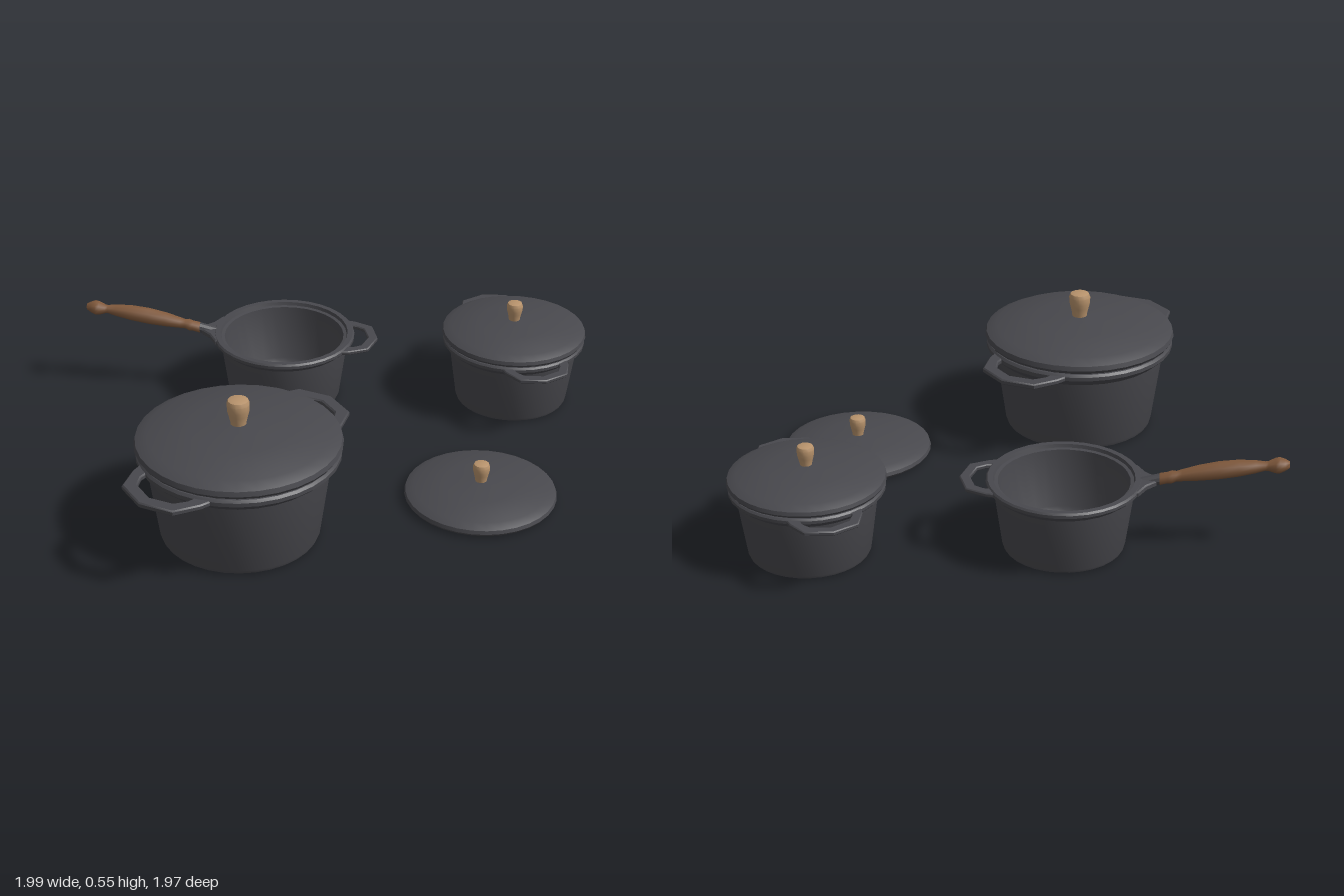
import * as THREE from 'three';
import { toCreasedNormals } from 'three/addons/utils/BufferGeometryUtils.js';

const IRON = new THREE.MeshStandardMaterial({ color: 0x48484d });
const PALE_WOOD = new THREE.MeshStandardMaterial({ color: 0xb8936c });
const DARK_WOOD = new THREE.MeshStandardMaterial({ color: 0x80593c });
const SMALL = 0.76; // small pieces are scaled copies of the large pot

const vec = (pts) => pts.map(([x, y]) => new THREE.Vector2(x, y));

function mesh(name, geometry, material, crease = 0.6) {
  const m = new THREE.Mesh(toCreasedNormals(geometry, crease), material);
  m.name = name;
  return m;
}

const lathe = (pts, sides) => new THREE.LatheGeometry(vec(pts), sides);

// Flat horizontal plate, outlined in x and z, from height y upward
function plate(pts, y, thickness) {
  const bevel = 0.005;
  const g = new THREE.ExtrudeGeometry(new THREE.Shape(vec(pts)), {
    depth: thickness - 2 * bevel, bevelThickness: bevel, bevelSize: bevel, bevelSegments: 1,
  });
  return g.rotateX(-Math.PI / 2).translate(0, y + bevel, 0);
}

// Tapered vessel: outside wall, flared rim, inner ledge, inside wall, floor
function vessel() {
  return mesh('vessel', lathe([
    [0, 0], [0.275, 0], [0.288, 0.006], [0.294, 0.02], [0.334, 0.305],
    [0.358, 0.325], [0.371, 0.338], [0.371, 0.353], [0.363, 0.362],
    [0.336, 0.362], [0.331, 0.345], [0.314, 0.342],
    [0.28, 0.05], [0.268, 0.028], [0.24, 0.018], [0, 0.018],
  ], 32), IRON);
}

// Angular carrying loop on the +x side
function loopHandle() {
  const half = [[0.49, 0], [0.452, 0.122], [0.36, 0.165], [0.31, 0.175]];
  const inner = [[0.33, 0.125], [0.375, 0.12], [0.42, 0.092], [0.45, 0]];
  const side = [...half, ...inner];
  const other = [...side].reverse().slice(1, -1).map(([x, y]) => [x, -y]);
  return mesh('loopHandle', plate([...side, ...other], 0.333, 0.022), IRON);
}

// Domed lid with hollow underside and wooden knob, resting on y = 0
function lid() {
  const g = new THREE.Group();
  g.name = 'lid';
  g.add(mesh('lidPlate', lathe([
    [0, 0.075], [0.18, 0.062], [0.31, 0.034], [0.322, 0.002], [0.35, 0],
    [0.368, 0.01], [0.376, 0.022], [0.371, 0.04], [0.33, 0.06],
    [0.18, 0.08], [0.04, 0.095], [0, 0.095],
  ], 32), IRON));
  g.add(mesh('knob', lathe([
    [0, 0.085], [0.028, 0.085], [0.03, 0.105], [0.036, 0.13], [0.041, 0.15],
    [0.042, 0.175], [0.037, 0.189], [0.025, 0.193], [0, 0.193],
  ], 12), PALE_WOOD));
  return g;
}

// Vessel with one loop handle for each given angle
function pot(name, x, z, scale, angles, withLid) {
  const g = new THREE.Group();
  g.name = name;
  g.position.set(x, 0, z);
  g.scale.setScalar(scale);
  g.add(vessel());
  for (const deg of angles) {
    const h = loopHandle();
    h.rotation.y = THREE.MathUtils.degToRad(deg);
    g.add(h);
  }
  if (withLid) {
    const l = lid();
    l.position.y = 0.36;
    g.add(l);
  }
  return g;
}

// Turned wooden handle pointing to -x, rising in a gentle curve
function longHandle() {
  const g = new THREE.Group();
  g.name = 'longHandle';
  const rise = (geo) => {
    const p = geo.attributes.position;
    for (let i = 0; i < p.count; i++) {
      const t = -p.getX(i) - 0.343;
      p.setY(i, p.getY(i) + 0.273 + 0.228 * t - 0.178 * t * t);
    }
    return geo;
  };
  const turned = (pts) => rise(lathe(pts, 10).rotateZ(Math.PI / 2));
  g.add(mesh('grip', turned([
    [0, 0.335], [0.019, 0.335], [0.022, 0.345], [0.021, 0.37], [0.024, 0.385],
    [0.019, 0.4], [0.022, 0.42], [0.029, 0.48], [0.033, 0.55], [0.031, 0.62],
    [0.024, 0.68], [0.017, 0.715], [0.018, 0.725], [0.028, 0.75], [0.03, 0.765],
    [0.022, 0.785], [0.013, 0.8], [0, 0.802],
  ]), DARK_WOOD, 0.9));
  g.add(mesh('ferrule', turned([
    [0, 0.265], [0.02, 0.265], [0.021, 0.34], [0, 0.34],
  ]), IRON));
  // Flared bracket joining the handle to the rim
  g.add(mesh('bracket', plate([
    [-0.25, 0.1], [-0.262, 0.1], [-0.29, 0.05], [-0.325, 0.018],
    [-0.325, -0.018], [-0.29, -0.05], [-0.262, -0.1], [-0.25, -0.1],
    [-0.262, 0],
  ].reverse(), 0.25, 0.024), IRON));
  return g;
}

export function createModel() {
  const model = new THREE.Group();
  model.name = 'cookwareSet';

  model.add(pot('largePot', -0.166, 0.527, 1, [58, 238], true));
  model.add(pot('smallPot', 0.708, -0.64, SMALL, [-64.5, 115.5], true));

  // Open saucepan: one loop and one long handle
  const panAngle = 3.7;
  model.add(pot('saucepan', -0.2, -0.503, SMALL, [panAngle], false));
  const handle = longHandle();
  handle.position.set(-0.2, 0, -0.503);
  handle.rotation.y = THREE.MathUtils.degToRad(panAngle);
  model.add(handle);

  // Saucepan lid lying on the ground
  const looseLid = lid();
  looseLid.name = 'saucepanLid';
  looseLid.position.set(0.672, 0, 0.146);
  looseLid.scale.setScalar(SMALL);
  model.add(looseLid);

  return model;
}
